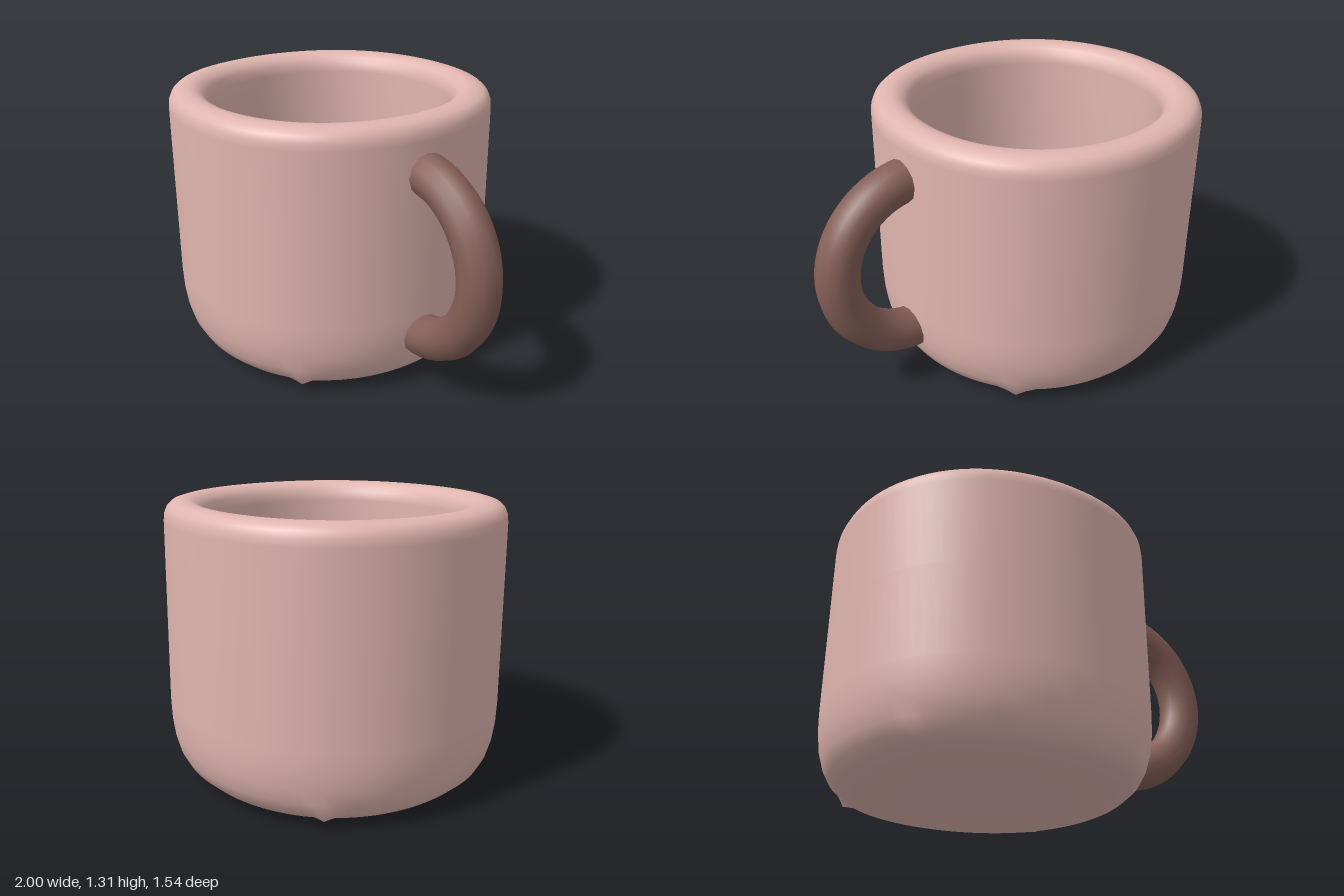
import * as THREE from 'three';
import { mergeVertices } from 'three/addons/utils/BufferGeometryUtils.js';

// Closed cup profile [radius, height]: underside, outer wall, rim, inner wall, floor
const PROFILE = [
  [0, 0.004], [0.3, 0.006], [0.55, 0.012], [0.66, 0.035], [0.705, 0.075], [0.735, 0.13],
  [0.755, 0.2], [0.766, 0.28], [0.77, 0.37], [0.77, 0.8], [0.77, 1.22], [0.767, 1.255],
  [0.755, 1.283], [0.735, 1.302], [0.705, 1.311], [0.675, 1.314], [0.645, 1.309],
  [0.615, 1.292], [0.595, 1.265], [0.585, 1.22], [0.585, 0.8], [0.585, 0.38],
  [0.575, 0.28], [0.55, 0.22], [0.49, 0.185], [0.3, 0.175], [0, 0.175],
];

// Revolve the profile, then swell it slightly on the diagonals
function cupGeometry() {
  const lathe = new THREE.LatheGeometry(PROFILE.map(([r, y]) => new THREE.Vector2(r, y)), 96);
  lathe.deleteAttribute('uv');
  lathe.deleteAttribute('normal');
  const pos = lathe.attributes.position;
  for (let i = 0; i < pos.count; i++) {
    const x = pos.getX(i), y = pos.getY(i), z = pos.getZ(i);
    const r = Math.hypot(x, z);
    const diagonal = (1 - Math.cos(4 * Math.atan2(z, x))) / 2;
    // small nub at each bottom corner
    const nub = r > 0.69 && y < 0.1 ? 0.025 * Math.pow(diagonal, 60) : 0;
    const swell = 1 + 0.022 * diagonal + nub;
    pos.setXYZ(i, x * swell, y - nub, z * swell);
  }
  const geometry = mergeVertices(lathe, 1e-4);
  geometry.computeVertexNormals();
  return geometry;
}

export function createModel() {
  const mug = new THREE.Group();
  mug.name = 'mug';

  const cup = new THREE.Mesh(cupGeometry(), new THREE.MeshStandardMaterial({ color: 0xe0b5af }));
  cup.name = 'cup';
  cup.position.x = -0.23;
  mug.add(cup);

  // Half ring whose ends are buried in the cup wall
  const handle = new THREE.Mesh(
    new THREE.TorusGeometry(0.403, 0.102, 12, 40, Math.PI),
    new THREE.MeshStandardMaterial({ color: 0x855f57 })
  );
  handle.name = 'handle';
  handle.rotation.z = -Math.PI / 2;
  handle.position.set(0.495, 0.663, 0);
  mug.add(handle);

  return mug;
}
